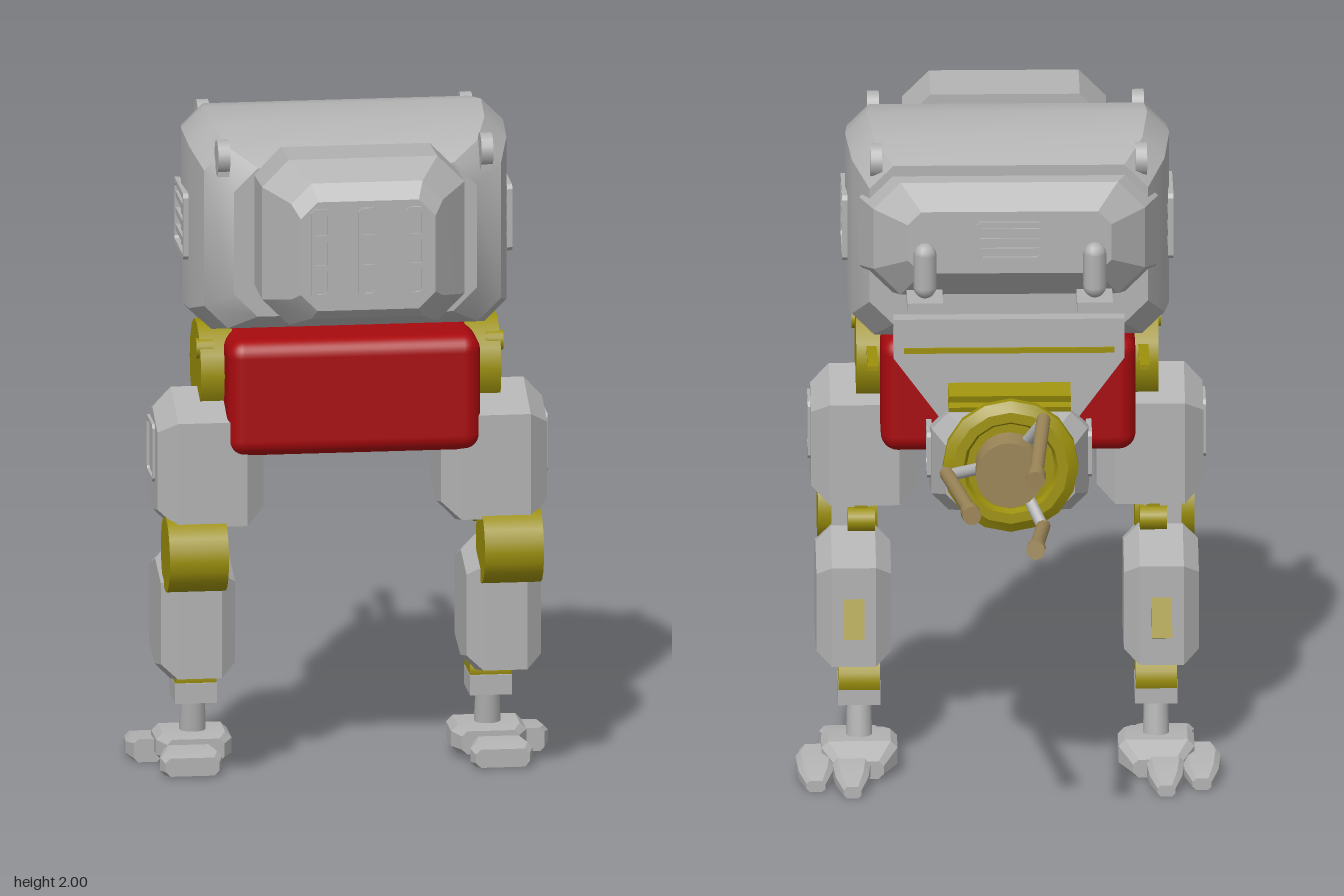
import * as THREE from 'three';
import { toCreasedNormals } from 'three/addons/utils/BufferGeometryUtils.js';
import { RoundedBoxGeometry } from 'three/addons/geometries/RoundedBoxGeometry.js';

const paint = (name, color) => Object.assign(new THREE.MeshStandardMaterial({ color }), { name });

export function createModel() {
  const model = new THREE.Group();
  model.name = 'walkerRobot';
  const grey = paint('armourGrey', 0xb2b2b2);
  const red = paint('pelvisRed', 0xa80a0e);
  const yellow = paint('jointYellow', 0x9c900c);
  const tan = paint('gunTan', 0x9c8658);

  function add(name, geo, mat, x = 0, y = 0, z = 0, parent = model) {
    const m = new THREE.Mesh(geo, mat);
    m.name = name;
    m.position.set(x, y, z);
    parent.add(m);
    return m;
  }
  const box = (w, h, d) => new THREE.BoxGeometry(w, h, d);
  const cylX = (r, w, n = 16) => new THREE.CylinderGeometry(r, r, w, n).rotateZ(Math.PI / 2);

  // Chamfered hull from sections [z, halfWidth, yBottom, yTop, chamfer], ordered from front to back
  function loft(sections, crease = 0.3) {
    const rings = sections.map(([z, w, a, b, c]) => [
      [-w + c, a, z], [w - c, a, z], [w, a + c, z], [w, b - c, z],
      [w - c, b, z], [-w + c, b, z], [-w, b - c, z], [-w, a + c, z]]);
    const p = [];
    const tri = (...v) => v.forEach((q) => p.push(...q));
    const last = rings[rings.length - 1];
    for (let i = 1; i < 7; i++) {
      tri(rings[0][0], rings[0][i], rings[0][i + 1]);
      tri(last[0], last[i + 1], last[i]);
    }
    for (let k = 0; k + 1 < rings.length; k++) {
      for (let i = 0; i < 8; i++) {
        const j = (i + 1) % 8, f = rings[k], r = rings[k + 1];
        tri(f[i], r[i], f[j]);
        tri(f[j], r[i], r[j]);
      }
    }
    const g = new THREE.BufferGeometry();
    g.setAttribute('position', new THREE.Float32BufferAttribute(p, 3));
    g.computeVertexNormals();
    return toCreasedNormals(g, crease);
  }

  // Bevelled slab from a [z, y] side profile, centred on x = 0
  function slab(points, width, bevel) {
    const shape = new THREE.Shape(points.map(([z, y]) => new THREE.Vector2(z, y)));
    const g = new THREE.ExtrudeGeometry(shape, { depth: width - 2 * bevel, bevelEnabled: true,
      bevelThickness: bevel, bevelSize: bevel, bevelOffset: -bevel, bevelSegments: 1 });
    return g.translate(0, 0, bevel - width / 2).rotateY(-Math.PI / 2);
  }

  // Grille: a thin frame with crossbars, facing +z
  function vent(name, w, h, bars, x, y, z, turn, border = 0.012) {
    const g = new THREE.Group();
    g.name = name;
    const outline = (a, b, c, T) => new T([[-a + c, -b], [a - c, -b], [a, -b + c], [a, b - c],
      [a - c, b], [-a + c, b], [-a, b - c], [-a, -b + c]].map((q) => new THREE.Vector2(...q)));
    const s = outline(w / 2, h / 2, 0.012, THREE.Shape);
    s.holes.push(outline(w / 2 - border, h / 2 - border, 0.008, THREE.Path));
    add('ventFrame', new THREE.ExtrudeGeometry(s, { depth: 0.016, bevelEnabled: false }), grey, 0, 0, -0.006, g);
    for (let i = 0; i < bars; i++) {
      add('ventBar', box(w - border, 0.018, 0.014), grey, 0, ((i + 1) / (bars + 1) - 0.5) * h, 0, g);
    }
    g.position.set(x, y, z);
    g.rotation.y = turn;
    model.add(g);
  }

  function rod(name, a, b, r, mat) {
    const A = new THREE.Vector3(...a), B = new THREE.Vector3(...b);
    const m = add(name, new THREE.CylinderGeometry(r, r, A.distanceTo(B), 12), mat);
    m.position.copy(A).lerp(B, 0.5);
    m.quaternion.setFromUnitVectors(new THREE.Vector3(0, 1, 0), B.sub(A).normalize());
  }

  // Upper hull, front pod and rear panel
  add('hull', loft([
    [0.57, 0.36, 1.44, 1.89, 0.07], [0.5, 0.44, 1.39, 1.94, 0.07], [0.38, 0.47, 1.36, 1.98, 0.065],
    [0.24, 0.477, 1.345, 2.0, 0.065], [0.08, 0.46, 1.365, 1.97, 0.065], [-0.025, 0.41, 1.43, 1.92, 0.07],
  ], 0.5), grey);
  add('frontPod', loft([
    [0.885, 0.2, 1.53, 1.86, 0.05], [0.855, 0.225, 1.5, 1.91, 0.06],
    [0.76, 0.3, 1.46, 1.96, 0.08], [0.56, 0.3, 1.46, 1.95, 0.08],
  ]), grey);
  add('rearPanel', loft([
    [0.02, 0.44, 1.52, 1.89, 0.08], [-0.08, 0.4, 1.54, 1.885, 0.08], [-0.16, 0.3, 1.63, 1.82, 0.04],
  ]), grey);
  for (const x of [-0.14, 0, 0.14]) vent('podVent', 0.06, 0.27, 2, x, 1.705, 0.884, 0);
  vent('rearVent', 0.2, 0.12, 3, 0, 1.73, -0.16, Math.PI);

  // Pelvis and rear support plate
  add('pelvis', new RoundedBoxGeometry(0.75, 0.35, 0.54, 4, 0.05), red, 0, 1.185, 0.3);
  const plate = new THREE.Shape([[-0.2, 1.15], [0.2, 1.15], [0.34, 1.34], [0.34, 1.46], [-0.34, 1.46], [-0.34, 1.34]]
    .map((q) => new THREE.Vector2(...q)));
  add('supportPlate', new THREE.ExtrudeGeometry(plate, { depth: 0.09, bevelEnabled: false }), grey, 0, 0, -0.075);
  add('plateTrim', box(0.62, 0.016, 0.012), yellow, 0, 1.365, -0.077);
  for (const y of [1.21, 1.245]) add('louvre', box(0.36, 0.022, 0.07), yellow, 0, y, -0.11).rotation.x = -0.3;

  // Gun housing, collar and barrels
  add('gunHousing', loft([
    [0.14, 0.2, 0.93, 1.05, 0.03], [-0.04, 0.235, 0.89, 1.17, 0.05],
    [-0.16, 0.23, 0.9, 1.2, 0.05], [-0.26, 0.19, 0.93, 1.18, 0.05],
  ]), grey);
  add('chinGuard', box(0.2, 0.035, 0.05), yellow, 0, 0.887, -0.16).rotation.x = 0.3;
  const collar = [[0, -0.035], [0.17, -0.035], [0.2, -0.015], [0.2, 0.015], [0.17, 0.035], [0.14, 0.035], [0.13, 0.012], [0, 0.012]];
  add('gunCollar', toCreasedNormals(new THREE.LatheGeometry(collar.map((q) => new THREE.Vector2(...q)), 16)
    .rotateX(-Math.PI / 2), 0.5), yellow, 0, 1.08, -0.295).rotation.x = 0.04;
  add('gunHub', new THREE.CylinderGeometry(0.1, 0.1, 0.15, 20).rotateX(Math.PI / 2), tan, 0.005, 1.085, -0.335);
  for (let i = 0; i < 3; i++) {
    const a = i * Math.PI * 2 / 3, c = Math.cos(a), s = Math.sin(a);
    const at = (r, y, z) => [r * c, y + r * s, z];
    rod('barrelStrut', at(0.07, 1.08, -0.31), at(0.19, 1.08, -0.39), 0.018, grey);
    rod('barrel', at(0.19, 1.08, -0.37), at(0.125, 1.115, -0.87), 0.021, tan);
    rod('muzzle', at(0.131, 1.112, -0.83), at(0.125, 1.115, -0.885), 0.028, tan);
  }

  for (const s of [1, -1]) {
    // Hull fittings
    vent('hullVent', 0.235, 0.2, 3, s * 0.478, 1.67, 0.265, s * Math.PI / 2, 0.016);
    vent('housingVent', 0.15, 0.14, 3, s * 0.233, 1.055, -0.055, s * Math.PI / 2);
    for (const z of [0.535, 0.03]) {
      add('liftingLug', cylX(0.05, 0.035), grey, s * 0.39, 1.92, z);
      add('lugFoot', box(0.035, 0.06, 0.06), grey, s * 0.39, 1.895, z);
    }
    add('lampShelf', box(0.105, 0.03, 0.15), grey, s * 0.25, 1.545, -0.155);
    add('lamp', new THREE.CapsuleGeometry(0.034, 0.1, 4, 10), grey, s * 0.25, 1.645, -0.178);
    add('lampBracket', box(0.035, 0.1, 0.06), grey, s * 0.25, 1.62, -0.135);

    // Hip
    add('hipDisc', cylX(0.142, 0.1, 14), yellow, s * 0.395, 1.235, 0.325);
    add('hipPin', cylX(0.03, 0.05), yellow, s * 0.43, 1.31, 0.41);
    add('hipRod', box(0.03, 0.014, 0.36), yellow, s * 0.4, 1.285, 0.18);

    // Thigh and knee
    add('thigh', slab([[0.545, 1.115], [0.365, 1.185], [0.175, 1.115], [0.175, 0.805], [0.39, 0.765], [0.545, 0.8]],
      0.315, 0.055), grey, s * 0.42);
    vent('thighPanel', 0.15, 0.175, 0, s * 0.576, 1.0, 0.36, s * Math.PI / 2, 0.012);
    add('kneeDisc', cylX(0.113, 0.175, 20), yellow, s * 0.467, 0.71, 0.495);
    add('kneeFin', new THREE.SphereGeometry(0.05, 12, 8).scale(0.55, 0.9, 1), yellow, s * 0.455, 0.8, 0.47);
    add('kneeLink', box(0.11, 0.2, 0.075), grey, s * 0.46, 0.72, 0.395);
    add('kneeHook', box(0.04, 0.08, 0.02), yellow, s * 0.46, 0.59, 0.45).rotation.x = -0.4;
    add('kneeStub', cylX(0.036, 0.08, 12), yellow, s * 0.43, 0.75, 0.215);
    add('stubHanger', box(0.04, 0.08, 0.03), yellow, s * 0.43, 0.785, 0.225);

    // Shin and ankle
    add('shin', slab([[0.5, 0.645], [0.31, 0.7], [0.115, 0.63], [0.115, 0.325], [0.3, 0.285], [0.5, 0.33]],
      0.22, 0.045), grey, s * 0.453);
    add('shinLatch', box(0.06, 0.12, 0.02), yellow, s * 0.453, 0.475, 0.104).rotation.x = 0.35;
    add('ankleJoint', cylX(0.07, 0.122, 16), yellow, s * 0.437, 0.272, 0.2);
    add('ankleBlock', box(0.125, 0.06, 0.14), grey, s * 0.437, 0.23, 0.205);
    add('anklePost', new THREE.CylinderGeometry(0.036, 0.04, 0.13, 14), grey, s * 0.437, 0.145, 0.185).rotation.x = 0.15;

    // Foot: sole, heel and two splayed toes
    add('footPlate', loft([[0.27, 0.085, 0.02, 0.09, 0.015], [0.22, 0.112, 0.015, 0.1, 0.02],
      [0.1, 0.112, 0.01, 0.1, 0.02], [0.03, 0.07, 0.005, 0.06, 0.015]]), grey, s * 0.437);
    add('heel', loft([[0.378, 0.08, 0.005, 0.06, 0.015], [0.34, 0.092, 0, 0.07, 0.015], [0.25, 0.07, 0, 0.075, 0.015]]),
      grey, s * 0.46);
    add('outerToe', loft([[0.17, 0.04, 0, 0.07, 0.012], [0.11, 0.058, 0, 0.065, 0.015],
      [0.0, 0.05, 0, 0.055, 0.015], [-0.075, 0.028, 0, 0.035, 0.01]]), grey, s * 0.568);
    add('innerToe', loft([[0.1, 0.05, 0, 0.07, 0.012], [0.02, 0.055, 0, 0.065, 0.015],
      [-0.06, 0.048, 0, 0.055, 0.015], [-0.138, 0.026, 0, 0.035, 0.01]]), grey, s * 0.462);
  }
  return model;
}
